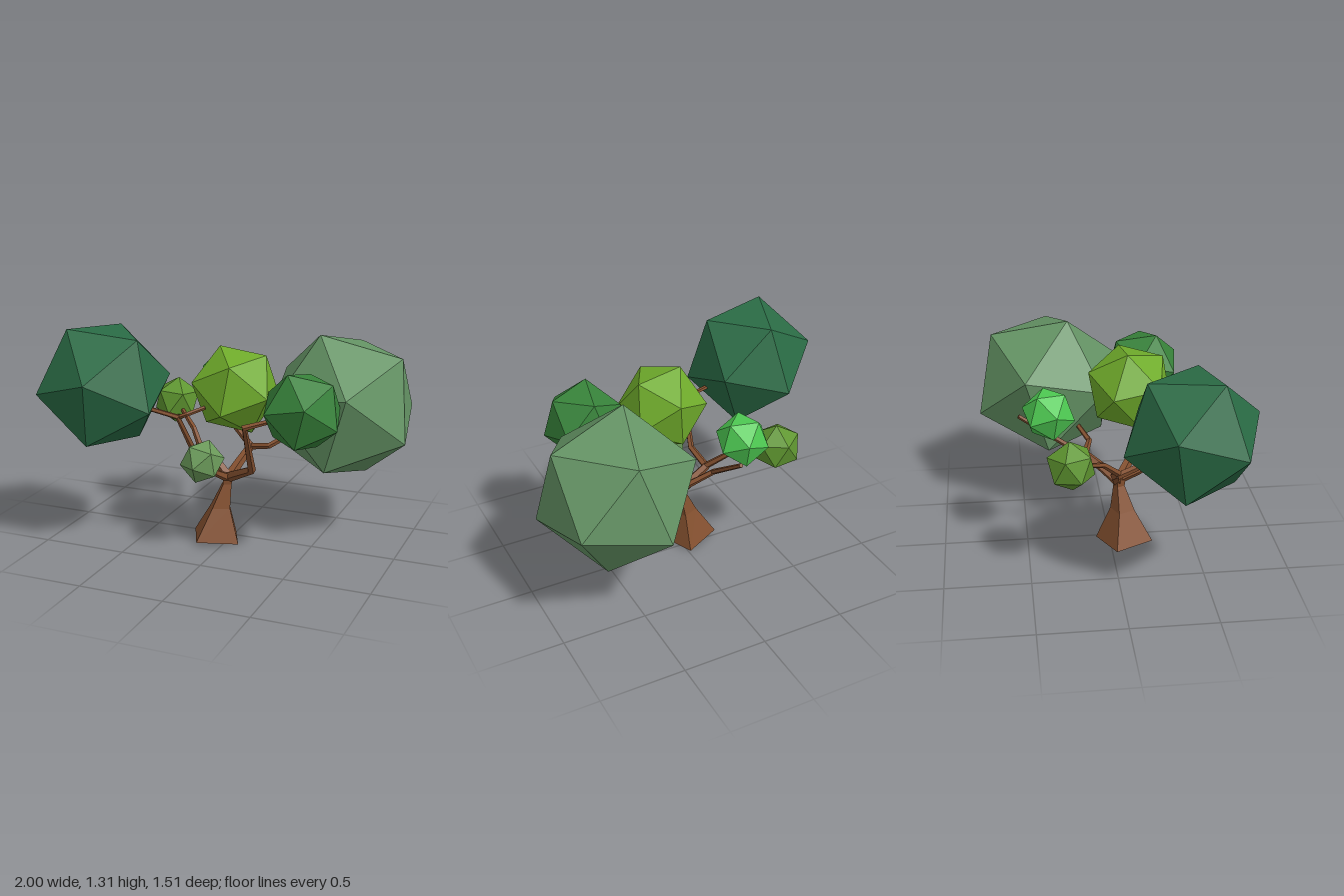
import * as THREE from 'three';

const V = (p) => new THREE.Vector3(...p);
const bark = new THREE.MeshStandardMaterial({ color: 0x84502f, flatShading: true });

// Closed low-poly skin over a list of rings (counter-clockwise seen from the tip)
function loft(name, rings) {
  const pos = [];
  const tri = (...pts) => pts.forEach((p) => pos.push(p.x, p.y, p.z));
  const n = rings[0].length;
  for (let i = 0; i < rings.length - 1; i++) {
    for (let j = 0; j < n; j++) {
      const k = (j + 1) % n;
      tri(rings[i][j], rings[i][k], rings[i + 1][k]);
      tri(rings[i][j], rings[i + 1][k], rings[i + 1][j]);
    }
  }
  const first = rings[0], last = rings[rings.length - 1];
  for (let j = 1; j < n - 1; j++) {
    tri(first[0], first[j + 1], first[j]);
    tri(last[0], last[j], last[j + 1]);
  }
  const geo = new THREE.BufferGeometry();
  geo.setAttribute('position', new THREE.Float32BufferAttribute(pos, 3));
  geo.computeVertexNormals();
  const mesh = new THREE.Mesh(geo, bark);
  mesh.name = name;
  return mesh;
}

// Tapering branch along a bent path
function branch(name, path, r0, r1, sides = 5) {
  const pts = path.map(V);
  const end = pts.length - 1;
  let u = new THREE.Vector3(0.3, 0.1, 1);
  const rings = pts.map((p, i) => {
    const t = new THREE.Vector3();
    if (i > 0) t.add(p.clone().sub(pts[i - 1]).normalize());
    if (i < end) t.add(pts[i + 1].clone().sub(p).normalize());
    t.normalize();
    u = u.clone().addScaledVector(t, -u.dot(t)).normalize();
    const v = t.clone().cross(u);
    const r = THREE.MathUtils.lerp(r0, r1, i / end);
    return Array.from({ length: sides }, (_, j) => {
      const a = (j / sides) * Math.PI * 2;
      return p.clone().addScaledVector(u, Math.cos(a) * r).addScaledVector(v, Math.sin(a) * r);
    });
  });
  return loft(name, rings);
}

// Icosahedron turned so that two adjacent corners point along a and b
function foliage(name, color, centre, radius, a, b) {
  const mesh = new THREE.Mesh(
    new THREE.IcosahedronGeometry(radius, 0),
    new THREE.MeshStandardMaterial({ color, flatShading: true })
  );
  const va = V(a).normalize(), vb = V(b).normalize();
  const up = va.clone().add(vb).normalize();
  const side = vb.sub(va).normalize();
  const basis = new THREE.Matrix4().makeBasis(side, up, side.clone().cross(up));
  mesh.quaternion.setFromRotationMatrix(basis);
  mesh.position.set(...centre);
  mesh.name = name;
  return mesh;
}

export function createModel() {
  const tree = new THREE.Group();
  tree.name = 'tree';

  // Four-sided flared trunk: [x, y, z, radius, tilt]
  const levels = [
    [-0.075, 0.01, 0.085, 0.176, 0.01],
    [-0.05, 0.205, 0.077, 0.075, 0],
    [-0.015, 0.35, 0.06, 0.035, 0],
    [-0.01, 0.41, 0.058, 0.045, 0],
  ];
  tree.add(loft('trunk', levels.map(([x, y, z, r, tilt]) =>
    Array.from({ length: 4 }, (_, j) => {
      const a = THREE.MathUtils.degToRad(70 + j * 90);
      const s = Math.sin(a), c = Math.cos(a);
      return new THREE.Vector3(x + s * r, y + tilt * THREE.MathUtils.clamp(c - s, -1, 1), z + c * r);
    })
  )));

  // Branches and their forks
  tree.add(
    branch('rightBranch', [[-0.01, 0.38, 0.05], [-0.07, 0.44, 0.03], [-0.185, 0.51, 0.04]], 0.034, 0.025),
    branch('rightFrontFork', [[-0.185, 0.5, 0.03], [-0.16, 0.56, 0.2], [-0.195, 0.82, 0.355], [-0.4, 0.86, 0.37]], 0.023, 0.013),
    branch('rightSpur', [[-0.2, 0.815, 0.35], [-0.14, 0.84, 0.345], [-0.06, 0.87, 0.28]], 0.014, 0.012),
    branch('rightBackFork', [[-0.17, 0.5, 0.05], [-0.28, 0.625, -0.06], [-0.46, 0.72, -0.23]], 0.022, 0.012),
    branch('backBranch', [[-0.01, 0.38, 0.05], [0.02, 0.45, -0.03], [0.06, 0.535, -0.14]], 0.034, 0.025),
    branch('backLeftFork', [[0.05, 0.53, -0.14], [0.19, 0.56, -0.1], [0.34, 0.65, -0.19]], 0.022, 0.014),
    branch('backRightFork', [[0.07, 0.53, -0.13], [-0.09, 0.64, -0.21], [-0.09, 0.87, -0.53]], 0.022, 0.013),
    branch('leftBranch', [[-0.01, 0.39, 0.06], [0.19, 0.5, 0.19], [0.225, 0.815, 0.395], [0.38, 0.86, 0.34]], 0.033, 0.013),
    branch('frontBranch', [[-0.01, 0.39, 0.07], [-0.035, 0.45, 0.18], [-0.05, 0.53, 0.31]], 0.028, 0.014)
  );

  // Faceted leaf clumps
  tree.add(
    foliage('darkFoliage', 0x2a6b45, [-0.65, 0.973, 0.375], 0.393, [-0.15, 0.338, 0.141], [0.255, 0.289, 0.07]),
    foliage('paleFoliage', 0x659465, [0.578, 0.797, -0.327], 0.47, [-0.115, 0.438, 0.124], [0.35, 0.313, 0.018]),
    foliage('limeFoliage', 0x6fab2b, [0.07, 0.955, 0.132], 0.265, [-0.112, 0.238, -0.027], [0.171, 0.2, -0.048]),
    foliage('midFoliage', 0x37823a, [0.517, 0.905, 0.267], 0.24, [-0.064, 0.215, 0.076], [0.176, 0.165, 0.003]),
    foliage('smallFrontFoliage', 0x6b9a5a, [-0.055, 0.567, 0.335], 0.129, [0.025, 0.123, -0.03], [0, -0.004, -0.128]),
    foliage('brightFoliage', 0x4ec952, [-0.19, 0.92, -0.364], 0.155, [-0.02, 0.123, 0.092], [0.09, 0.123, -0.02]),
    foliage('oliveFoliage', 0x5f9630, [-0.485, 0.735, -0.262], 0.145, [0.01, 0.14, -0.01], [0, 0.06, -0.13])
  );
  return tree;
}
